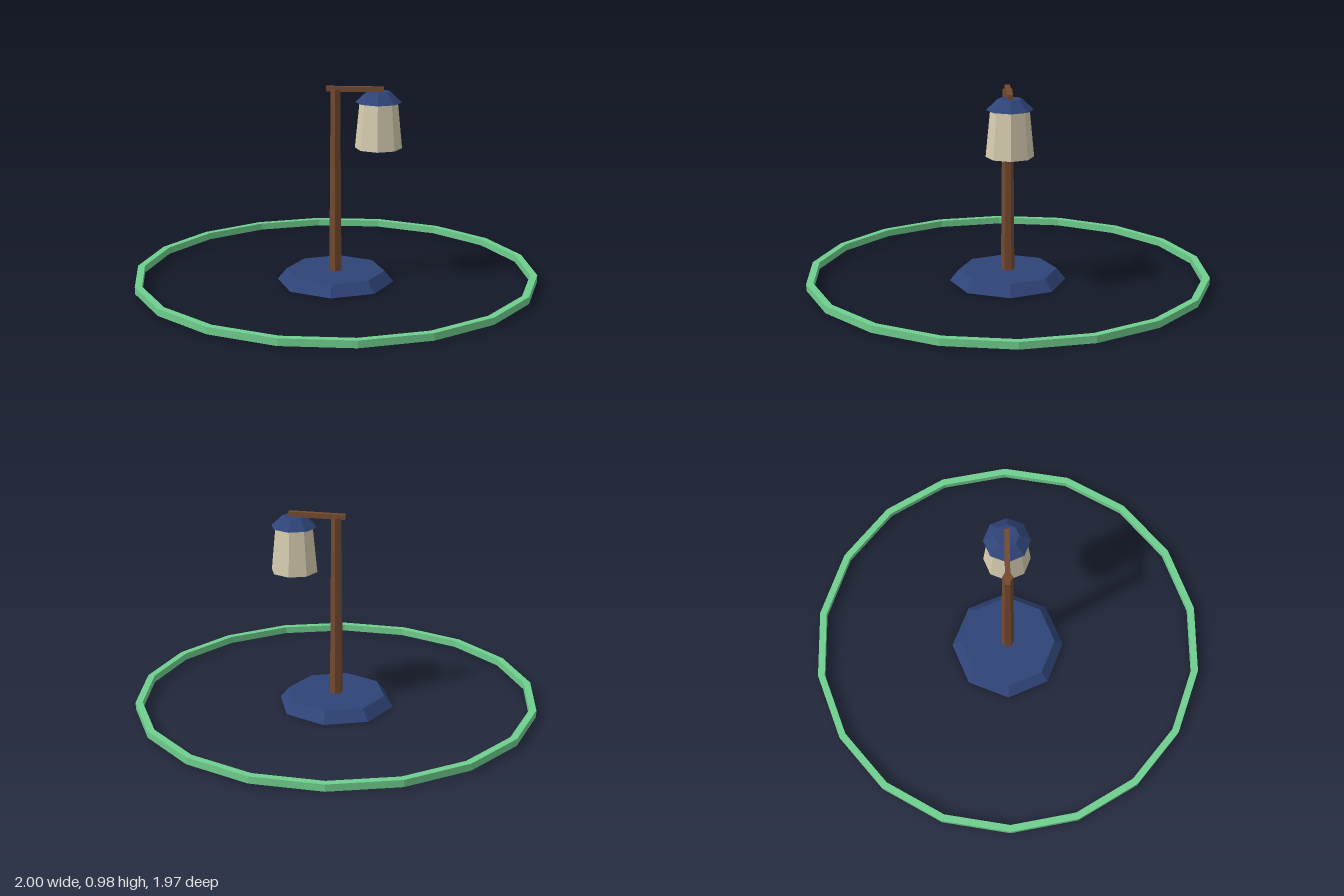
import * as THREE from 'three';

export function createModel() {
  const model = new THREE.Group();
  const material = (name, color) => {
    const m = new THREE.MeshStandardMaterial({ color, flatShading: true });
    m.name = name;
    return m;
  };
  const green = material('green', 0x6fcf8e);
  const blue = material('navy blue', 0x2f4478);
  const wood = material('brown wood', 0x744a30);
  const cream = material('cream', 0xd6ccb0);

  const add = (name, geometry, mat, x = 0, y = 0, z = 0) => {
    const mesh = new THREE.Mesh(geometry, mat);
    mesh.name = name;
    mesh.position.set(x, y, z);
    model.add(mesh);
    return mesh;
  };
  // Faceted, tapered solid standing between two heights
  const taper = (name, mat, sides, rTop, rBottom, y0, y1, x = 0) =>
    add(name, new THREE.CylinderGeometry(rTop, rBottom, y1 - y0, sides), mat, x, (y0 + y1) / 2);

  // Ground ring: rectangular section swept around 18 sides
  const inner = 0.965, outer = 1, low = 0.015, high = 0.05;
  const section = [
    [inner, low], [outer, low], [outer, high], [inner, high], [inner, low],
  ].map(([r, y]) => new THREE.Vector2(r, y));
  const ring = add('groundRing', new THREE.LatheGeometry(section, 18), green);
  ring.rotation.y = Math.PI / 2;

  // Octagonal foot and hexagonal post
  taper('base', blue, 8, 0.245, 0.29, 0, 0.055);
  taper('post', wood, 6, 0.026, 0.034, 0.001, 0.965);

  // Arm reaching out to the lantern
  add('arm', new THREE.BoxGeometry(0.28, 0.025, 0.025), wood, 0.095, 0.968);

  // Hanging lantern
  const lanternX = 0.21;
  taper('lanternShade', cream, 8, 0.093, 0.115, 0.68, 0.906, lanternX);
  taper('lanternCap', blue, 8, 0.058, 0.113, 0.905, 0.957, lanternX);

  return model;
}
